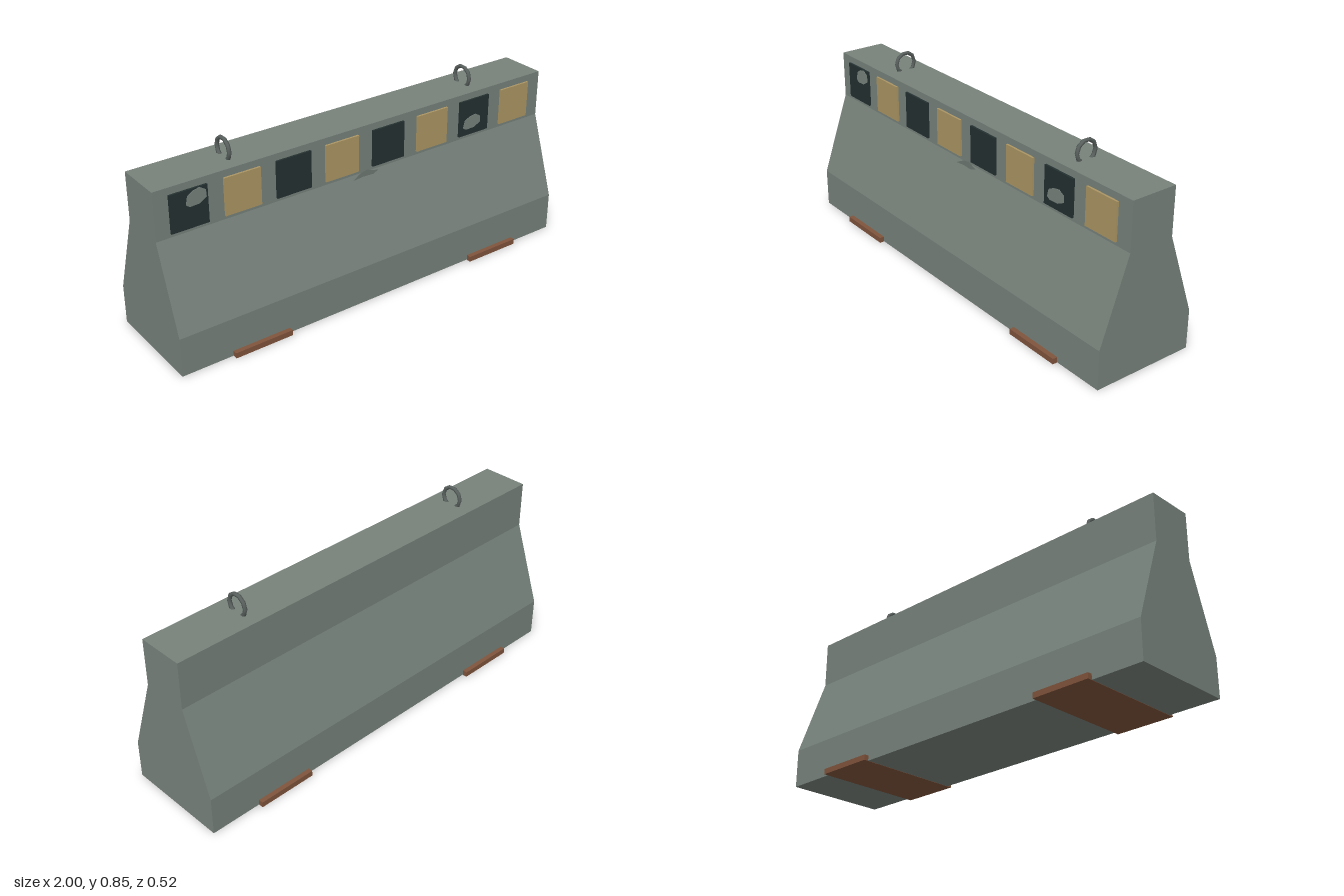
import * as THREE from 'three';

const material = (name, color, side = THREE.FrontSide) => {
  const m = new THREE.MeshStandardMaterial({ color, side });
  m.name = name;
  return m;
};

export function createModel() {
  const group = new THREE.Group();
  const concrete = material('concrete', 0x77827b);
  const dark = material('dark paint', 0x243031);
  const tan = material('tan paint', 0xac9663);
  const rust = material('rusty steel', 0x80543c);
  const steel = material('lifting steel', 0x5a625f);
  const chipped = material('chipped concrete', 0x626b65);

  const add = (name, geometry, mat, x = 0, y = 0, z = 0) => {
    const mesh = new THREE.Mesh(geometry, mat);
    mesh.name = name;
    mesh.position.set(x, y, z);
    group.add(mesh);
    return mesh;
  };
  const plate = (points, depth) => new THREE.ExtrudeGeometry(
    new THREE.Shape(points.map(([x, y]) => new THREE.Vector2(x, y))),
    { depth, bevelEnabled: false });

  // Barrier body: stepped profile swept along x
  const half = [[0.24, 0.001], [0.24, 0.178], [0.108, 0.552], [0.108, 0.768]];
  const profile = [...half, ...half.map(([z, y]) => [-z, y]).reverse()];
  const body = plate(profile, 2);
  body.translate(0, 0, -1).rotateY(Math.PI / 2);
  add('barrierBody', body, concrete);

  // Alternating painted panels along the upper front
  for (let i = 0; i < 8; i++) {
    add(i % 2 ? 'tanPanel' : 'darkPanel', new THREE.BoxGeometry(0.168, 0.168, 0.0095),
      i % 2 ? tan : dark, -0.851 + i * 0.242, 0.653, 0.1128);
  }

  // Worn spots where paint has flaked off
  const flake = [[-0.046, -0.024], [-0.03, -0.036], [0.012, -0.034], [0.046, -0.014],
    [0.044, 0.018], [0.018, 0.036], [-0.012, 0.03], [-0.038, 0.014]];
  add('paintFlakeRight', plate(flake, 0.002), concrete, -0.82, 0.699, 0.1175);
  const low = add('paintFlakeLeft', plate(flake, 0.002), concrete, 0.588, 0.63, 0.1175);
  low.scale.set(1.1, 0.9, 1);

  // Chip on the front shoulder
  const chip = [[-0.068, -0.014], [-0.02, -0.01], [0.035, -0.012], [0.064, -0.002],
    [0.03, 0.006], [0.008, 0.014], [-0.03, 0.006]];
  add('shoulderChip', plate(chip, 0.003), chipped, 0, 0.545, 0.1105).rotation.x = -0.34;

  for (const s of [-1, 1]) {
    // Steel foot running through the base
    add('footPlate', new THREE.BoxGeometry(0.274, 0.025, 0.524), rust, s * 0.627, 0.0125, 0);
    // Lifting ring on the top
    const ring = new THREE.TorusGeometry(0.048, 0.009, 6, 10);
    add('liftingRing', ring, steel, s * 0.624, 0.8, 0).rotation.y = Math.PI / 2;
  }
  return group;
}
